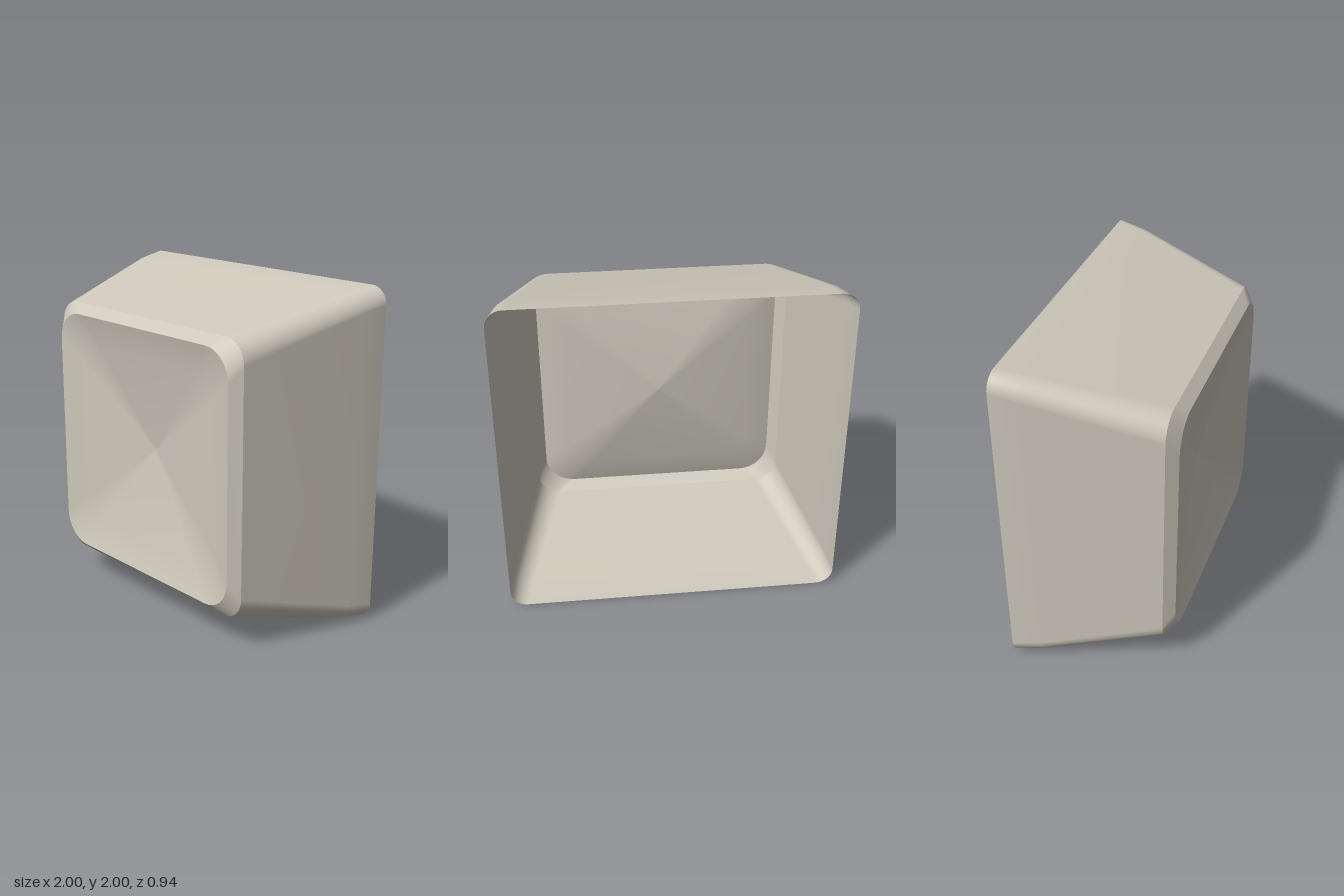
import * as THREE from 'three';

const CORNER_STEPS = 8;

// Rounded-square outline, counter-clockwise seen from the front
function ring({ half, radius, z }) {
  const points = [];
  for (let corner = 0; corner < 4; corner++) {
    const mid = Math.PI / 4 + corner * Math.PI / 2;
    const cx = Math.sign(Math.cos(mid)) * (half - radius);
    const cy = Math.sign(Math.sin(mid)) * (half - radius);
    for (let i = 0; i <= CORNER_STEPS; i++) {
      const a = (corner + i / CORNER_STEPS) * Math.PI / 2;
      points.push([cx + radius * Math.cos(a), 1 + cy + radius * Math.sin(a), z]);
    }
  }
  return points;
}

// Smooth skin through a series of outlines; a zero-size outline closes it
function loft(name, sections, material) {
  const rings = sections.map(ring);
  const n = rings[0].length;
  const index = [];
  for (let r = 0; r < rings.length - 1; r++) {
    for (let j = 0; j < n; j++) {
      const k = (j + 1) % n;
      const a = r * n + j, b = r * n + k, c = b + n, d = a + n;
      index.push(a, b, c);
      if (sections[r + 1].half > 0) index.push(a, c, d);
    }
  }
  const geometry = new THREE.BufferGeometry();
  geometry.setAttribute('position', new THREE.Float32BufferAttribute(rings.flat(2), 3));
  geometry.setIndex(index);
  geometry.computeVertexNormals();
  const mesh = new THREE.Mesh(geometry, material);
  mesh.name = name;
  return mesh;
}

export function createModel() {
  const beige = new THREE.MeshStandardMaterial({ color: 0xcdc8ba, side: THREE.DoubleSide });
  beige.name = 'beige plastic';

  const back = { half: 1, radius: 0.1, z: -0.47 };
  const flare = { half: 0.975, radius: 0.11, z: -0.3 };
  const shoulder = { half: 0.8, radius: 0.14, z: 0.41 };
  const rim = { half: 0.745, radius: 0.18, z: 0.47 };

  const group = new THREE.Group();
  group.name = 'keycap';
  group.add(
    // Hollow tapered walls, open at the back
    loft('skirt', [back, flare, shoulder], beige),
    // Chamfer around the front face
    loft('bevel', [shoulder, rim], beige),
    // Shallow concave front face
    loft('dish', [
      rim,
      { half: 0.57, radius: 0.138, z: 0.42 },
      { half: 0, radius: 0, z: 0.345 },
    ], beige),
  );
  return group;
}
